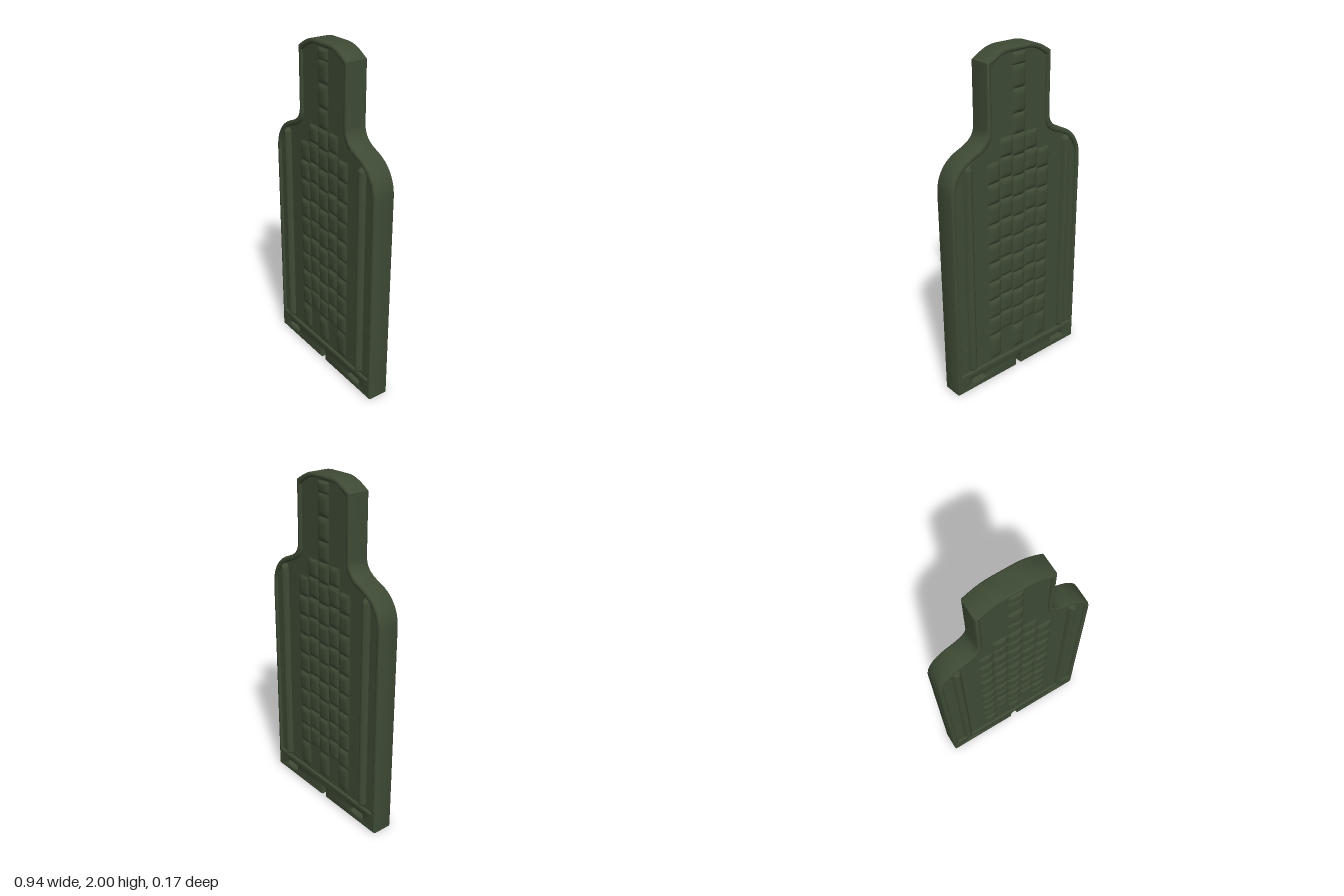
import * as THREE from 'three';
import { toCreasedNormals } from 'three/addons/utils/BufferGeometryUtils.js';

const olive = new THREE.MeshStandardMaterial({ color: 0x3e4a35 });
olive.name = 'olive drab';

const PANEL_Z = 0.053; // recessed panel surface
const RIM_Z = 0.066;   // raised border surface

// Bottle-shaped outline, pulled inwards by d, resting on height y0
function outline(path, d, y0, notch) {
  path.moveTo(-0.47 + d, y0);
  if (notch) {
    path.lineTo(-0.02, y0);
    path.lineTo(-0.02, 0.055);
    path.absarc(0, 0.055, 0.02, Math.PI, 0, true);
    path.lineTo(0.02, y0);
  }
  path.lineTo(0.47 - d, y0);
  path.lineTo(0.47 - d, 1.27);
  path.bezierCurveTo(0.47 - d, 1.37 - d * 0.3, 0.42 - d, 1.44 - d, 0.34 - d * 0.4, 1.475 - d);
  path.bezierCurveTo(0.28 - d * 0.6, 1.50 - d, 0.22 - d, 1.52 - d, 0.22 - d, 1.60 - d);
  path.lineTo(0.22 - d, 1.94 - d * 0.8);
  path.bezierCurveTo(0.15 - d * 0.5, 1.985 - d, 0.11, 2 - d, 0.06, 2 - d);
  path.lineTo(-0.06, 2 - d);
  path.bezierCurveTo(-0.11, 2 - d, -0.15 + d * 0.5, 1.985 - d, -0.22 + d, 1.94 - d * 0.8);
  path.lineTo(-0.22 + d, 1.60 - d);
  path.bezierCurveTo(-0.22 + d, 1.52 - d, -0.28 + d * 0.6, 1.50 - d, -0.34 + d * 0.4, 1.475 - d);
  path.bezierCurveTo(-0.42 + d, 1.44 - d, -0.47 + d, 1.37 - d * 0.3, -0.47 + d, 1.27);
  path.closePath();
  return path;
}

function slab(shape, halfDepth, bevel) {
  const geo = new THREE.ExtrudeGeometry(shape, {
    depth: 2 * (halfDepth - bevel), curveSegments: 14,
    bevelEnabled: bevel > 0, bevelThickness: bevel, bevelSize: bevel,
    bevelOffset: -bevel, bevelSegments: 4,
  });
  geo.translate(0, 0, -(halfDepth - bevel));
  return toCreasedNormals(geo, 0.7);
}

// Pillow-shaped strap face rising from the panel
function padGeometry(w, h, rise) {
  const geo = new THREE.PlaneGeometry(w, h, 10, 12);
  const p = geo.attributes.position;
  for (let i = 0; i < p.count; i++) {
    const u = Math.abs(p.getX(i)) / (w / 2);
    const v = Math.abs(p.getY(i)) / (h / 2);
    p.setZ(i, rise * (1 - u ** 4) * (1 - v ** 6));
  }
  geo.computeVertexNormals();
  return geo;
}

export function createModel() {
  const model = new THREE.Group();
  const add = (geo, name, parent = model) => {
    const mesh = new THREE.Mesh(geo, olive);
    mesh.name = name;
    parent.add(mesh);
    return mesh;
  };

  // Raised border with bottom notch and strap slots
  const rim = outline(new THREE.Shape(), 0, 0, true);
  rim.holes.push(outline(new THREE.Path(), 0.028, 0.125, false));
  for (const s of [-1, 1]) {
    const slot = new THREE.Path();
    slot.absarc(s * 0.32 + 0.035, 0.06, 0.015, -Math.PI / 2, Math.PI / 2, false);
    slot.absarc(s * 0.32 - 0.035, 0.06, 0.015, Math.PI / 2, Math.PI * 1.5, false);
    slot.closePath();
    rim.holes.push(slot);
  }
  add(slab(rim, RIM_Z, 0.012), 'border');

  // Recessed panel
  add(slab(outline(new THREE.Shape(), 0.014, 0.105, false), PANEL_Z, 0), 'panel');

  // Stiffening ribs, showing on both faces
  for (const s of [-1, 1]) {
    const geo = new THREE.CapsuleGeometry(0.036, 1.25, 10, 24);
    geo.scale(1, 1, 0.083 / 0.036);
    add(geo, s > 0 ? 'leftRib' : 'rightRib').position.set(s * 0.355, 0.78, 0);
  }

  // Basket weave: list of strap faces as column, bottom, top
  const cells = [];
  const pitch = 0.122;
  for (let c = -2; c <= 2; c++) {
    const even = c % 2 === 0;
    const shift = even ? 0 : 0.012;
    if (even) cells.push([c, 0.14, 0.305]);
    for (let r = 0; r < 9; r++) {
      const y = 0.305 + r * pitch + shift;
      cells.push([c, y, y + pitch]);
    }
    if (Math.abs(c) < 2) cells.push([c, 1.403 + shift, 1.525]);
  }
  for (const [a, b] of [[1.525, 1.64], [1.64, 1.775], [1.775, 1.9], [1.9, 1.965]]) cells.push([0, a, b]);

  for (const side of ['front', 'back']) {
    const weave = new THREE.Group();
    weave.name = side + 'Weave';
    if (side === 'back') weave.rotation.y = Math.PI;
    cells.forEach(([c, a, b], i) => {
      const rise = (c + i) % 2 ? 0.012 : 0.015;
      const pad = add(padGeometry(0.092, b - a, rise), 'weavePad', weave);
      pad.position.set(c * 0.09, (a + b) / 2, PANEL_Z + 0.0005);
      // slight lean gives each strap its stepped lower edge
      pad.rotation.x = 0.03;
    });
    model.add(weave);
  }
  return model;
}
